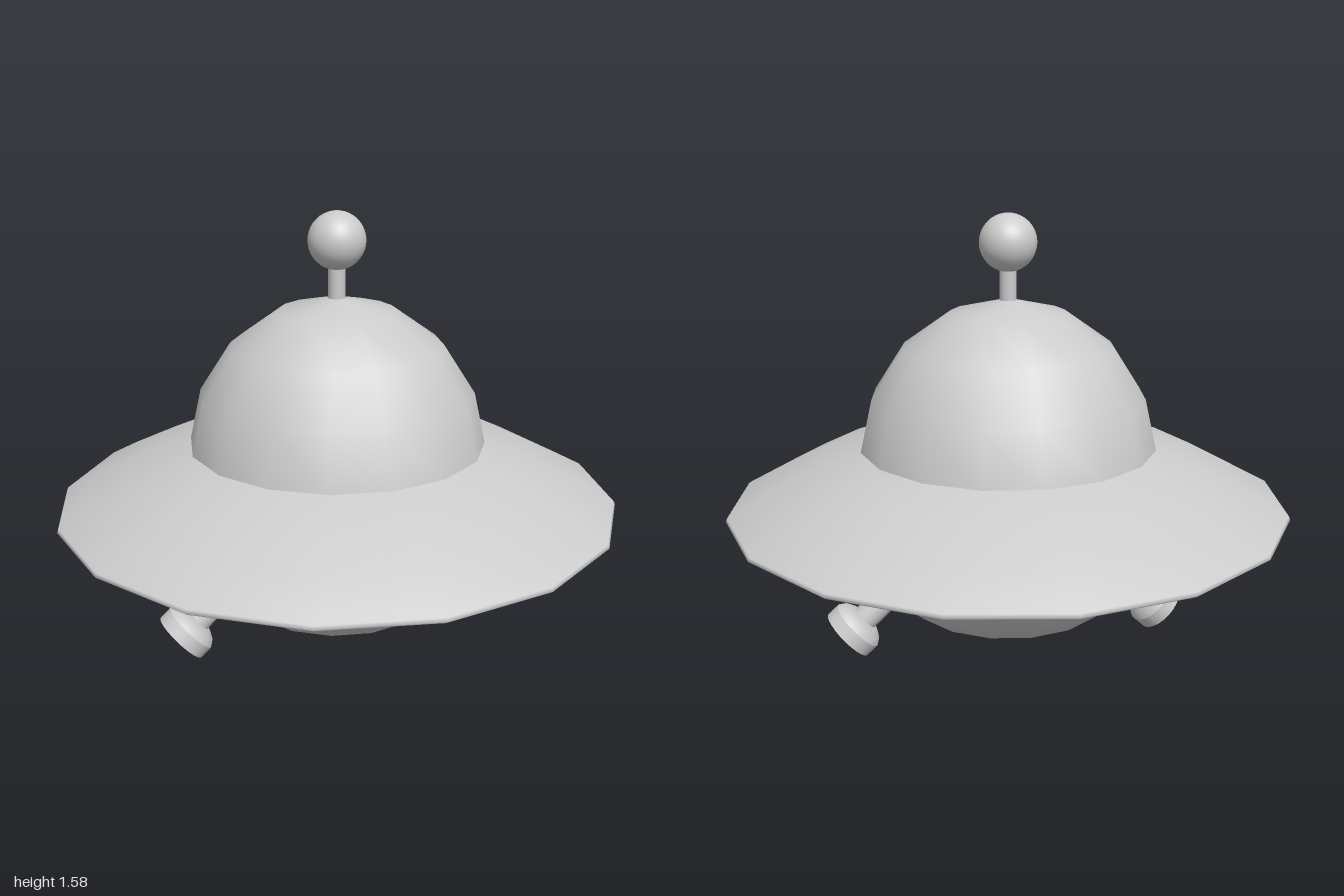
import * as THREE from 'three';
import { mergeGeometries } from 'three/addons/utils/BufferGeometryUtils.js';

const material = new THREE.MeshStandardMaterial({ color: 0xcccccc });

// Turned part; each profile runs upward on the outside and meets the next at a sharp edge.
function turned(name, sides, ...profiles) {
  const parts = profiles.map((profile) =>
    new THREE.LatheGeometry(profile.map(([r, y]) => new THREE.Vector2(r, y)), sides));
  const mesh = new THREE.Mesh(mergeGeometries(parts), material);
  mesh.name = name;
  return mesh;
}

// Landing leg on +x: y runs from the sole of the foot up into the hull.
function makeLeg(name, turn) {
  const leg = new THREE.Group();
  leg.add(
    turned('foot', 24,
      [[0, 0], [0.103, 0]],
      [[0.103, 0], [0.103, 0.05]],
      [[0.103, 0.05], [0.088, 0.072], [0.06, 0.088], [0, 0.093]]),
    turned('strut', 20, [[0.047, 0.06], [0.047, 0.32]], [[0.047, 0.32], [0, 0.32]]),
  );
  leg.position.set(0.597, 0.08, 0);
  leg.rotation.z = 0.826;
  const pivot = new THREE.Group();
  pivot.name = name;
  pivot.rotation.y = turn;
  pivot.add(leg);
  return pivot;
}

export function createModel() {
  const model = new THREE.Group();
  model.name = 'flyingSaucer';

  // Rounded underside
  model.add(turned('belly', 16,
    [[0, 0.068], [0.125, 0.083], [0.36, 0.175], [0.5, 0.29], [0.58, 0.395]]));

  // Wide disc: shallow cone below, narrow lip, gently domed top
  const disc = turned('disc', 16,
    [[0.56, 0.388], [0.85, 0.488], [0.99, 0.537]],
    [[0.99, 0.537], [1, 0.545], [0.995, 0.557], [0.88, 0.62], [0.69, 0.715], [0.52, 0.77]]);
  disc.rotation.y = -0.015;
  model.add(disc);

  // Cabin dome
  model.add(turned('dome', 16,
    [[0.527, 0.765], [0.485, 0.95], [0.373, 1.123], [0.203, 1.244], [0, 1.293]]));

  // Antenna
  model.add(turned('antennaStem', 16, [[0.03, 1.25], [0.03, 1.43]]));
  const ball = new THREE.Mesh(new THREE.SphereGeometry(0.1, 32, 20), material);
  ball.name = 'antennaBall';
  ball.position.y = 1.483;
  model.add(ball);

  // Pair of landing legs
  model.add(makeLeg('leftLeg', 0), makeLeg('rightLeg', Math.PI));

  return model;
}
